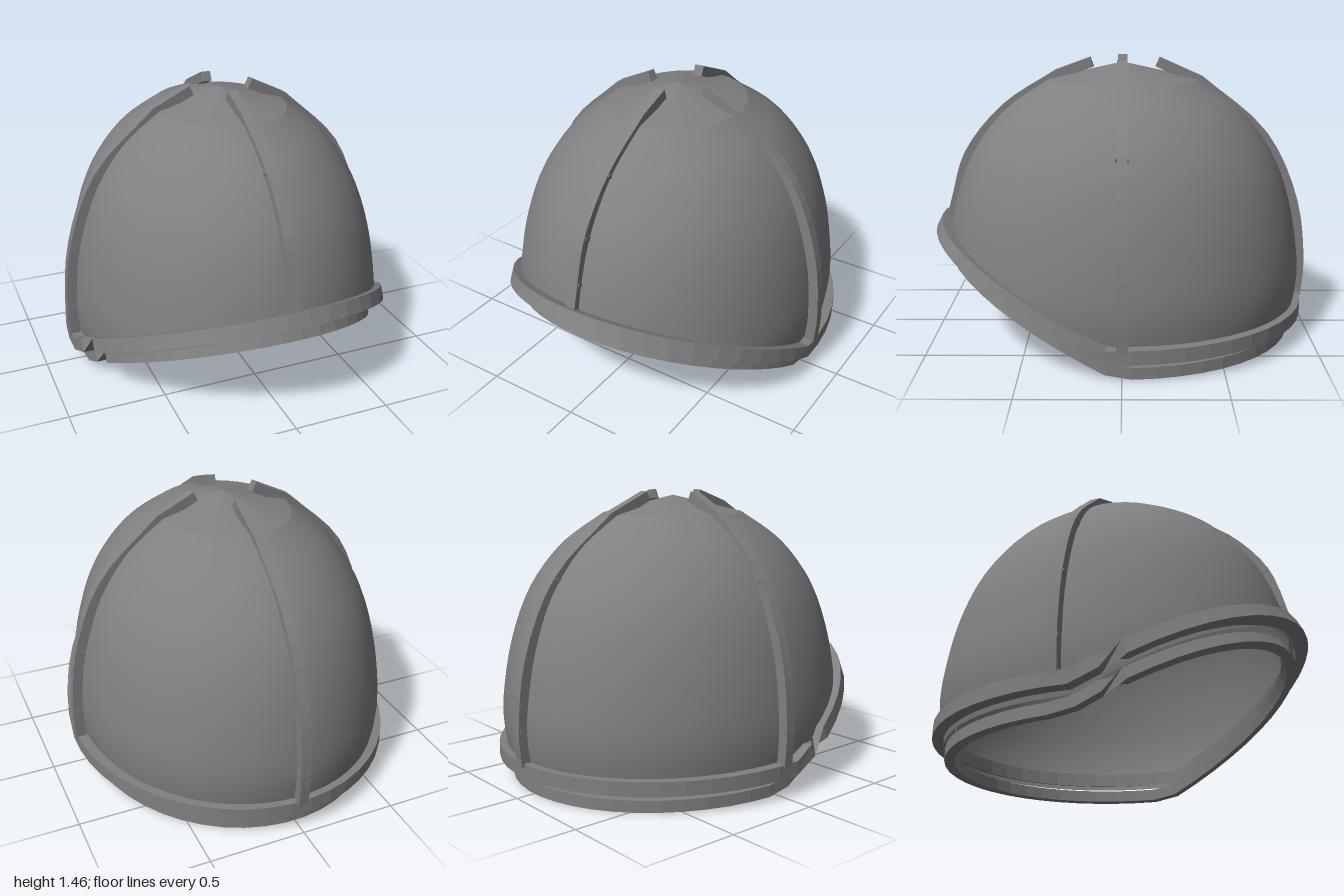
import * as THREE from 'three';

const V = (x, y, z) => new THREE.Vector3(x, y, z);
const gray = new THREE.MeshStandardMaterial({ color: 0x808080, side: THREE.DoubleSide });
gray.name = 'plain gray';

const SLOPE = 0.505;
// the rims and the shell edge rise towards the front
const lift = (z, start) => SLOPE * Math.max(0, z - start);

function named(geometry, name) {
  const mesh = new THREE.Mesh(geometry, gray);
  mesh.name = name;
  return mesh;
}

// Faces between rows of points; wrapRow joins each row's ends, wrapAll joins last row to first
function skin(rows, wrapAll, wrapRow, caps) {
  const n = rows[0].length, idx = [];
  const last = wrapAll ? rows.length : rows.length - 1;
  for (let i = 0; i < last; i++) {
    const p = i * n, q = ((i + 1) % rows.length) * n;
    for (let j = 0; j < (wrapRow ? n : n - 1); j++) {
      const k = (j + 1) % n;
      idx.push(p + j, q + j, q + k, p + j, q + k, p + k);
    }
  }
  if (caps) {
    const e = (rows.length - 1) * n;
    idx.push(0, 1, 2, 0, 2, 3, e, e + 2, e + 1, e, e + 3, e + 2);
  }
  const g = new THREE.BufferGeometry().setFromPoints(rows.flat());
  g.setIndex(idx);
  return g;
}

// Four corners of a bar section, rolled about its centre
function section(c, out, up, hw, hh, roll = 0) {
  return [[1, 1], [1, -1], [-1, -1], [-1, 1]].map(([a, b]) => {
    const x = a * hw, y = b * hh, s = Math.sin(roll), k = Math.cos(roll);
    return c.clone().addScaledVector(out, x * k - y * s).addScaledVector(up, x * s + y * k);
  });
}

function flat(g) {
  const f = g.toNonIndexed();
  f.computeVertexNormals();
  return f;
}

// Hollow dome with an oval plan and a shallow conical crown
function dome() {
  const profile = new THREE.SplineCurve([
    [0.955, 0.08], [0.985, 0.2], [1, 0.34], [0.985, 0.5], [0.945, 0.7], [0.875, 0.9],
    [0.78, 1.06], [0.63, 1.22], [0.41, 1.36],
  ].map(p => new THREE.Vector2(...p))).getPoints(100);
  const radius = y => {
    const i = profile.findIndex(p => p.y >= y);
    if (i < 0) return profile[100].x;
    if (i === 0) return profile[0].x;
    const a = profile[i - 1], b = profile[i];
    return a.x + (b.x - a.x) * (y - a.y) / (b.y - a.y);
  };
  const rows = [];
  for (let i = 0; i < 64; i++) {
    const t = i / 64 * Math.PI * 2, row = [];
    const low = 0.09 + lift(0.95 * Math.sin(t), 0.08);
    for (let j = 0; j <= 24; j++) {
      const y = low + (1.36 - low) * Math.sin(j / 24 * Math.PI / 2);
      const r = radius(y);
      row.push(V(0.82 * r * Math.cos(t), y, 0.95 * r * Math.sin(t)));
    }
    row.push(V(0, 1.45, 0));
    rows.push(row.reverse());
  }
  const g = skin(rows, true, false, false);
  g.computeVertexNormals();
  return g;
}

// Bent oval rim; the bar gives a quarter twist at one place on each side
function rim({ a, b, zc, base, start, hw, hh }) {
  const rows = [], N = 48;
  for (let i = 0; i < N; i++) {
    const t = (i - 2.5) / N * Math.PI * 2;
    const x = a * Math.cos(t), z = zc + b * Math.sin(t);
    const c = V(x, base + lift(z, start), z);
    const tilt = z > start ? SLOPE : 0;
    const nx = Math.cos(t) / a, nz = Math.sin(t) / b;
    const out = V(nx, tilt * nz, nz).normalize();
    const up = V(0, 1, -tilt).normalize();
    const rolled = t > -0.3 && t < Math.PI - 0.2;
    rows.push(section(c, out, up, rolled ? hh : hw, rolled ? hw : hh, rolled ? Math.PI / 2 : 0));
  }
  return flat(skin(rows, true, true, false));
}

// Raised rib with small joints, drawn along +z and turned into place
function rib(name, points, angle) {
  const group = new THREE.Group();
  group.name = name;
  const pts = points.map(([d, y]) => V(0, y, d));
  const path = new THREE.CatmullRomCurve3(pts.slice(0, -1)).getPoints(16);
  path.push(pts[pts.length - 1]);
  const tangent = i => path[Math.min(i + 1, path.length - 1)].clone()
    .sub(path[Math.max(i - 1, 0)]).normalize();
  const rows = path.map((c, i) => {
    const t = tangent(i);
    return section(c, V(0, -t.z, t.y), V(1, 0, 0), 0.026, 0.026);
  });
  group.add(named(flat(skin(rows, false, true, true)), 'ribBar'));
  for (let k = 1; k <= 3; k++) {
    const t = tangent(k * 4);
    const joint = named(new THREE.BoxGeometry(0.06, 0.018, 0.04), 'ribJoint');
    joint.position.copy(pts[k]);
    joint.rotation.x = Math.atan2(t.z, t.y);
    group.add(joint);
  }
  group.rotation.y = angle;
  return group;
}

export function createModel() {
  const model = new THREE.Group();
  model.name = 'ribbedHelmet';
  model.add(named(dome(), 'domeShell'));
  model.add(named(rim({ a: 0.825, b: 0.945, zc: 0.01, base: 0.15, start: 0.08, hw: 0.035, hh: 0.036 }), 'upperRim'));
  model.add(named(rim({ a: 0.762, b: 0.885, zc: 0.01, base: 0.04, start: 0.03, hw: 0.026, hh: 0.03 }), 'lowerRim'));

  // ribs as distance from the centre line and height
  const side = [[0.835, 0.17], [0.845, 0.35], [0.805, 0.7], [0.66, 1.06], [0.355, 1.355], [0.16, 1.45]];
  model.add(rib('frontRib', [[0.925, 0.61], [0.89, 0.74], [0.82, 0.96], [0.625, 1.2], [0.34, 1.385], [0.16, 1.45]], 0));
  model.add(rib('backRib', [[0.955, 0.17], [0.967, 0.35], [0.92, 0.7], [0.75, 1.06], [0.41, 1.35], [0.185, 1.45]], Math.PI));
  model.add(rib('leftRib', side, Math.PI / 2));
  model.add(rib('rightRib', side, -Math.PI / 2));
  return model;
}
